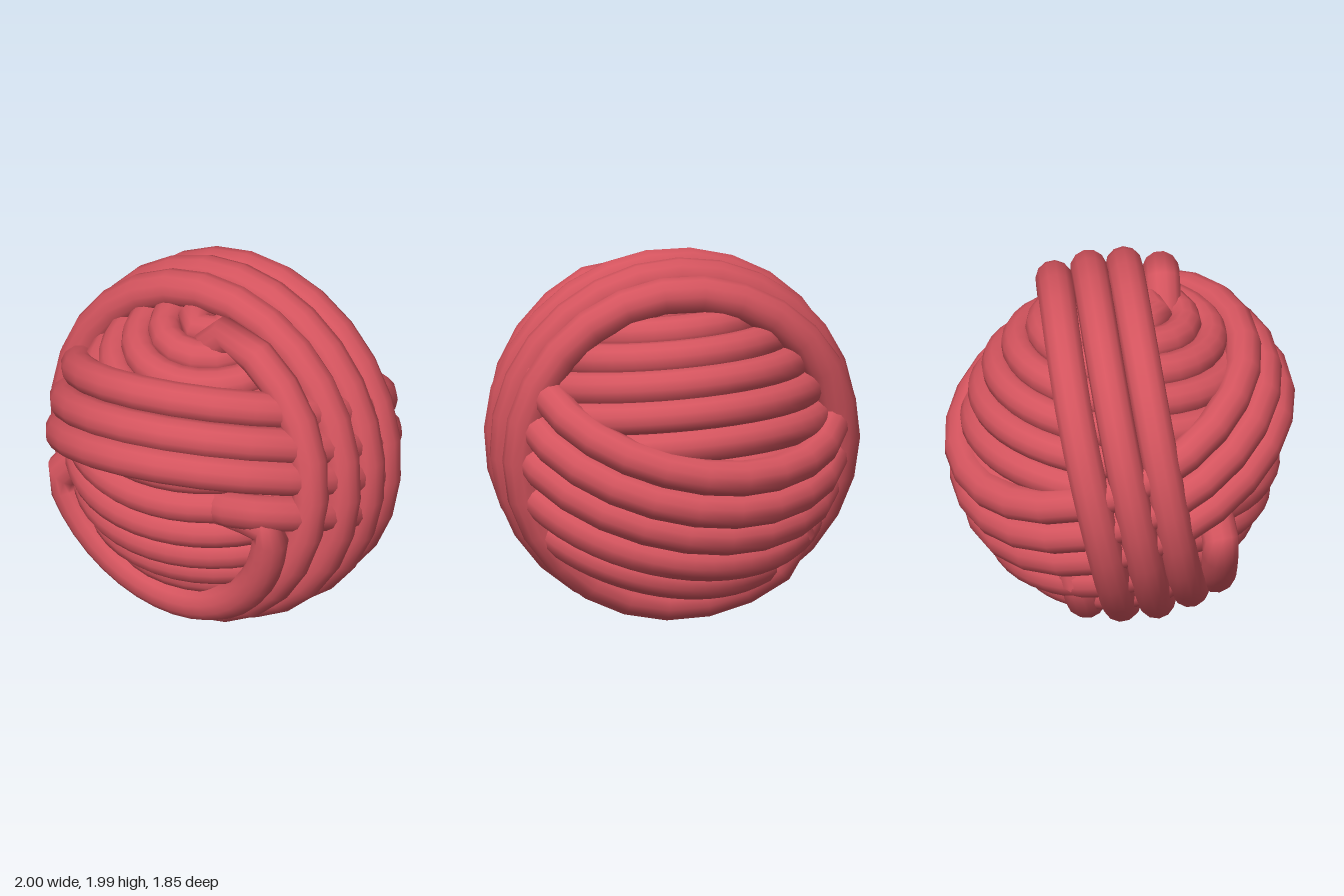
import * as THREE from 'three';

const TAU = Math.PI * 2;

class StrandCurve extends THREE.Curve {
  constructor(pointAt) {
    super();
    this.pointAt = pointAt;
    this.arcLengthDivisions = 1500;
  }
  getPoint(t, target = new THREE.Vector3()) {
    return target.copy(this.pointAt(t));
  }
}

export function createModel() {
  const ball = new THREE.Group();
  ball.name = 'yarnBall';
  const material = new THREE.MeshStandardMaterial({ color: 0xd4545e, side: THREE.DoubleSide });

  function addStrand(name, thickness, segments, pointAt, closed = false) {
    const geometry = new THREE.TubeGeometry(new StrandCurve(pointAt), segments, thickness, 12, closed);
    const mesh = new THREE.Mesh(geometry, material);
    mesh.name = name;
    ball.add(mesh);
    return mesh;
  }

  // How far a loose end sinks into the ball, for an angle between two ends
  const sink = (a, from, to) => 0.18 * (1 - Math.min(1, Math.min(a - from, to - a) / 0.18));

  // Inner coil: spiral from pole to pole, tilted slightly forwards
  const turns = 14;
  const core = addStrand('innerCoil', 0.092, 420, t => {
    const polar = 0.06 + t * (Math.PI - 0.12);
    return new THREE.Vector3().setFromSphericalCoords(0.77, polar, (0.3 - t * turns) * TAU);
  });
  core.position.y = 1;
  core.rotation.x = 0.11;

  // Slanted wraps: high at the front, low at the back
  function slantedPoint(height, angle, radius) {
    const d = height - 1;
    const k = 0.45 * Math.cos(angle) + 0.08 * Math.sin(angle);
    const q = 1 + k * k;
    const r = (-d * k + Math.sqrt(d * d * k * k - q * (d * d - radius * radius))) / q;
    return new THREE.Vector3(r * Math.sin(angle), height + k * r, r * Math.cos(angle) + 0.015);
  }
  [1.32, 1.12, 0.93].forEach(height =>
    addStrand('slantedWrap', 0.096, 24, t => slantedPoint(height, t * TAU, 0.86), true));
  [[0.71, 0.33, 4.8], [0.51, 1.3, 5]].forEach(([height, from, to]) =>
    addStrand('slantedWrapEnd', 0.096, 36, t => {
      const a = from + t * (to - from);
      return slantedPoint(height, a, 0.86 - sink(a, from, to));
    }));

  // Upright wraps: circles over the top, angle measured from the top towards +x
  function uprightStrand(name, segments, from, to, depth) {
    addStrand(name, 0.099, segments, t => {
      const a = from + t * (to - from);
      const radius = 0.903 - sink(a, from, to);
      const z = depth(a);
      const r = Math.sqrt(radius * radius - z * z);
      return new THREE.Vector3(r * Math.sin(a), 1 + r * Math.cos(a), z);
    });
  }
  uprightStrand('uprightWraps', 96, 0, TAU * 3.65, a =>
    0.37 - 0.195 * a / TAU + 0.21 * Math.sin(a) - 0.13 * Math.cos(a));
  uprightStrand('frontWrapEnd', 24, 1.45, 4.57, a => 0.5 + 0.19 * Math.sin(a));

  return ball;
}
